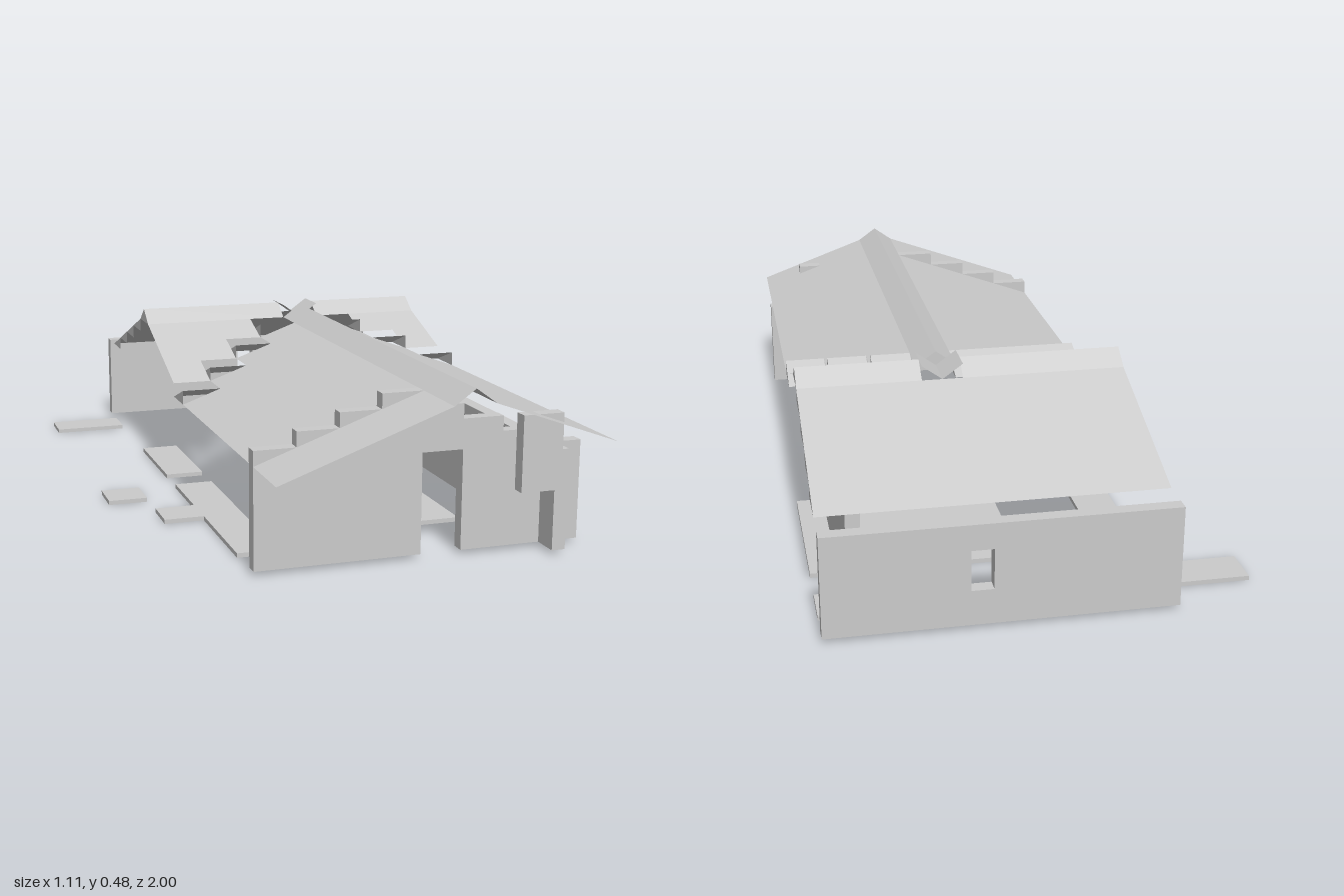
import * as THREE from 'three';

const U = 1 / 9;      // one building module
const H = 0.04;       // roof rise per module
const T = 0.037;      // wall thickness
const X0 = -3 * U, X1 = 5 * U, RIDGE = U * 1.5;
const BASE = 0.012;

export function createModel() {
  const root = new THREE.Group();
  const mat = new THREE.MeshStandardMaterial({ color: 0xcccccc, flatShading: true, side: THREE.DoubleSide });

  const add = (name, geo) => {
    const mesh = new THREE.Mesh(geo, mat);
    mesh.name = name;
    root.add(mesh);
    return mesh;
  };
  const box = (name, x0, x1, y0, y1, z0, z1) =>
    add(name, new THREE.BoxGeometry(x1 - x0, y1 - y0, z1 - z0))
      .position.set((x0 + x1) / 2, (y0 + y1) / 2, (z0 + z1) / 2);

  // Thin panel through three or four corners
  const panel = (name, ...pts) => {
    const geo = new THREE.BufferGeometry();
    geo.setAttribute('position', new THREE.Float32BufferAttribute(pts.flat(), 3));
    geo.setIndex(pts.length === 4 ? [0, 1, 2, 0, 2, 3] : [0, 1, 2]);
    geo.computeVertexNormals();
    return add(name, geo);
  };
  // Roof strip sloping along z, over x0..x1
  const slopeZ = (name, x0, x1, z0, y0, z1, y1) =>
    panel(name, [x0, y0, z0], [x0, y1, z1], [x1, y1, z1], [x1, y0, z0]);
  // Roof strip sloping along x, over z0..z1
  const slopeX = (name, z0, z1, x0, y0, x1, y1) =>
    panel(name, [x0, y0, z0], [x0, y0, z1], [x1, y1, z1], [x1, y1, z0]);

  // Wall slab with a rectangular window, extruded by its thickness
  const windowWall = (name, w0, w1, top, h0, h1, b, t) => {
    const s = new THREE.Shape();
    s.moveTo(w0, BASE).lineTo(w1, BASE).lineTo(w1, top).lineTo(w0, top).closePath();
    const hole = new THREE.Path();
    hole.moveTo(h0, b).lineTo(h0, t).lineTo(h1, t).lineTo(h1, b).closePath();
    s.holes.push(hole);
    return add(name, new THREE.ExtrudeGeometry(s, { depth: T, bevelEnabled: false }));
  };

  // Back wall and the two lengths of side wall, with a doorway between
  windowWall('backWall', X0, X1, 0.28, 0.137, 0.193, 0.105, 0.212).position.z = -1;
  const side = windowWall('sideWallFront', -0.89, 0, 0.28, -0.42, -0.365, 0.105, 0.217);
  side.rotation.y = Math.PI / 2;
  side.position.x = 4 * U;
  box('sideWallRear', 4 * U, 4 * U + T, BASE, 0.28, -8 * U, -0.07);

  // Front gable wall in stepped columns around the door opening
  const tops = [0.32, 0.36, 0.4, 0.44, 0.4, 0.36, 0.32, 0.28];
  tops.forEach((top, i) => {
    const x = X0 + i * U;
    box(i === 4 ? 'doorLintel' : 'frontWallColumn', x, x + U, i === 4 ? 0.28 : BASE, top, 7 * U, 7 * U + T);
  });
  box('hangingPanel', 3 * U, 4 * U, 0.185, 0.385, 8 * U, 8 * U + T);

  // Long roof running front to back, its rear edge stepped
  for (let i = 0; i < 4; i++) {
    const x = X0 + i * U;
    slopeX('longRoofRight', (1 - i) * U, 1, x, 0.28 + i * H, x + U, 0.32 + i * H);
  }
  for (let i = 0; i < 3; i++) {
    const x = (2 + i) * U;
    slopeX('longRoofLeft', (i - 2) * U, 1, x, 0.44 - i * H, x + U, 0.4 - i * H);
  }
  slopeX('longRidgeRight', -3 * U, 1, U, 0.44, RIDGE, 0.48);
  slopeX('longRidgeLeft', -3 * U, 1, RIDGE, 0.48, 2 * U, 0.44);

  // Valley piece where the ridges cross
  slopeX('crossingRight', -4 * U, -3 * U, U, 0.48, RIDGE, 0.44);
  slopeX('crossingLeft', -4 * U, -3 * U, RIDGE, 0.44, 2 * U, 0.48);

  // Rear cross roof: back slope, ridge and stepped front slope
  slopeZ('crossRoofBack', X0, X1, -8 * U, 0.28, -4 * U, 0.44);
  const zr = -3.5 * U;
  for (const [a, b] of [[X0, U], [2 * U, X1]]) {
    slopeZ('crossRidgeBack', a, b, -4 * U, 0.44, zr, 0.48);
    slopeZ('crossRidgeFront', a, b, zr, 0.48, -3 * U, 0.44);
  }
  for (let i = 0; i < 3; i++) {
    const z = (i - 3) * U, y = 0.44 - i * H;
    slopeZ('crossRoofFront', X0, -i * U, z, y, z + U, y - H);
    if (i < 2) slopeZ('crossRoofFront', (3 + i) * U, X1, z, y, z + U, y - H);
  }

  // Triangular end fillers of the cross roof
  for (const x of [X0, X1]) {
    panel('ridgeEnd', [x, 0.44, -4 * U], [x, 0.48, zr], [x, 0.44, -3 * U]);
    for (let i = 0; i < 4; i++) {
      const z = -(4 + i) * U, y = 0.44 - i * H;
      panel('gableFiller', [x, y, z], [x, y - H, z], [x, y - H, z - U]);
    }
  }

  // Small wedges stepping down both valleys
  const wedge = (x, z, y) => {
    slopeZ('valleyWedge', x, x + U, z, y, z + U, y + H);
    for (const e of [x, x + U]) panel('valleyWedgeSide', [e, y, z], [e, y, z + U], [e, y + H, z + U]);
  };
  for (let i = 0; i < 4; i++) {
    const z = (i - 3) * U, y = 0.4 - i * H;
    wedge(-i * U, z, y);
    if (i < 3) wedge((2 + i) * U, z, y);
  }

  // Floor slabs, in modules: x0, x1, z0, z1
  const slabs = [
    [-5, -4, 0, 1], [-4, -3, 2, 3], [-5, -3, -8, -7],
    [-3, -2, -4, -1], [-3, -2, 0, 6],
    [0, 5, -6, -2], [2, 3, -1, 5], [2, 5, -8, -7],
  ];
  for (const [a, b, c, d] of slabs) box('floorSlab', a * U, b * U, 0, BASE, c * U, d * U);

  return root;
}
